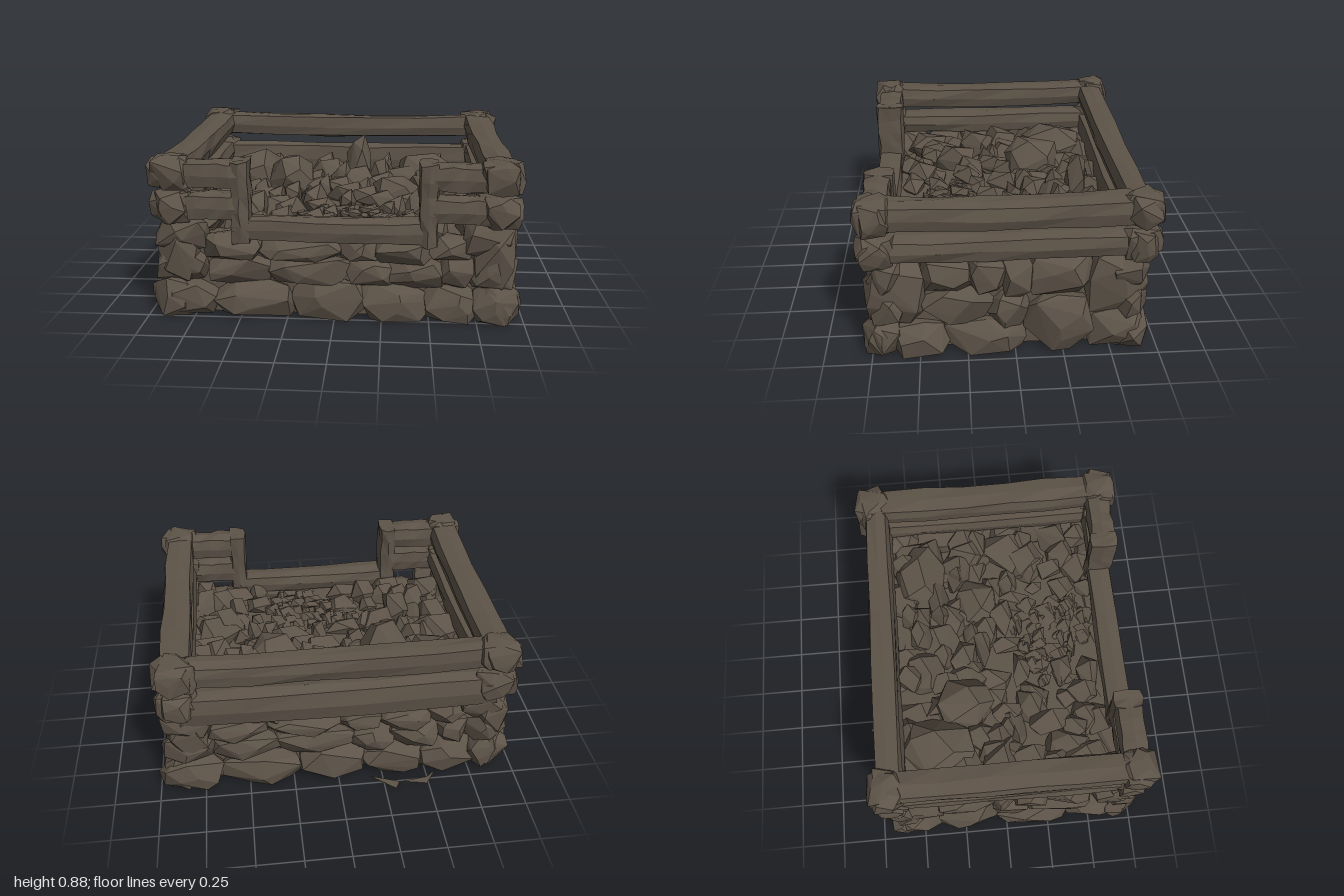
import * as THREE from 'three';
import { ConvexGeometry } from 'three/addons/geometries/ConvexGeometry.js';

const stone = new THREE.MeshStandardMaterial({ color: 0x5d5348 });
stone.name = 'weathered brown';

// Seeded random numbers
let seed = 7;
const rnd = () => {
  seed = (seed * 16807) % 2147483647;
  return seed / 2147483647;
};
const spread = (a) => (rnd() * 2 - 1) * a;

// Jitter that depends only on position, so shared corners stay joined
const hash = (x, y, z, k) => {
  const s = Math.sin(x * 127.1 + y * 311.7 + z * 74.7 + k * 53.3) * 43758.5453;
  return (s - Math.floor(s)) * 2 - 1;
};

function add(parent, name, geometry) {
  const mesh = new THREE.Mesh(geometry, stone);
  mesh.name = name;
  parent.add(mesh);
  return mesh;
}

function group(parent, name) {
  const g = new THREE.Group();
  g.name = name;
  parent.add(g);
  return g;
}

// Faceted rock filling a box: centre, half sizes, squareness p, point count
function rock(parent, name, [cx, cy, cz], [hx, hy, hz], p = 4, n = 20) {
  const points = [];
  for (let i = 0; i < n; i++) {
    const y = 1 - (2 * (i + 0.5)) / n;
    const a = i * 2.39996 + spread(0.5);
    const r = Math.sqrt(1 - y * y);
    const d = [Math.cos(a) * r, y + spread(0.1), Math.sin(a) * r];
    const len = Math.pow(d.reduce((s, v) => s + Math.abs(v) ** p, 0), 1 / p);
    const k = (1.03 + spread(0.06)) / len;
    points.push(new THREE.Vector3(
      cx + d[0] * k * hx, Math.max(0, cy + d[1] * k * hy), cz + d[2] * k * hz));
  }
  add(parent, name, new ConvexGeometry(points));
}

// Rough hewn beam along x, y or z with chamfered edges and a slight sag
function beam(parent, name, [cx, cy, cz], [len, h, d], axis = 'x', sag = 0.012) {
  let g = new THREE.BoxGeometry(len, h, d, 5, 2, 2);
  const pos = g.attributes.position;
  for (let i = 0; i < pos.count; i++) {
    const x = pos.getX(i), y = pos.getY(i), z = pos.getZ(i);
    const edge = Math.abs(y) > h * 0.4 && Math.abs(z) > d * 0.4;
    const k = edge ? 0.85 : 1;
    const j = (n) => hash(x + cx, y + cy, z + cz, n);
    const t = (2 * x) / len;
    pos.setXYZ(i, x + j(1) * len * 0.02,
      y * k + j(2) * 0.006 - sag * (1 - t * t), z * k + j(3) * 0.006);
  }
  if (axis === 'z') g.rotateY(Math.PI / 2);
  if (axis === 'y') g.rotateZ(Math.PI / 2);
  g.translate(cx, cy, cz);
  g = g.toNonIndexed();
  g.computeVertexNormals();
  add(parent, name, g);
}

// Wall stones: start, end, bottom, top
const longWall = [
  [-0.99, -0.63, -0.03, 0.2], [-0.65, -0.2, -0.03, 0.19], [-0.22, 0.16, -0.03, 0.22],
  [0.12, 0.5, -0.03, 0.2], [0.46, 0.8, -0.03, 0.19], [0.72, 0.98, -0.03, 0.21],
  [-0.96, -0.68, 0.18, 0.37], [-0.7, -0.33, 0.17, 0.34], [-0.36, 0.1, 0.18, 0.34],
  [0.06, 0.32, 0.18, 0.33], [0.28, 0.58, 0.17, 0.34], [0.54, 0.74, 0.18, 0.36],
  [0.69, 0.96, 0.18, 0.37],
  [-0.95, -0.68, 0.35, 0.54], [-0.72, -0.38, 0.31, 0.45], [-0.42, 0.04, 0.31, 0.43],
  [0, 0.24, 0.32, 0.44], [0.2, 0.52, 0.31, 0.44], [0.48, 0.72, 0.33, 0.46],
  [0.68, 0.95, 0.35, 0.55],
];
const sideWall = [
  [0.6, 0.79, -0.03, 0.21], [0.34, 0.66, -0.03, 0.18], [-0.05, 0.38, -0.03, 0.18],
  [-0.42, -0.04, -0.03, 0.33], [-0.7, -0.38, -0.03, 0.22],
  [0.46, 0.77, 0.18, 0.54], [0.1, 0.49, 0.16, 0.38], [-0.08, 0.14, 0.13, 0.34],
  [0.22, 0.48, 0.35, 0.55], [0.04, 0.25, 0.35, 0.55], [-0.09, 0.07, 0.31, 0.55],
  [-0.42, -0.06, 0.31, 0.55], [-0.7, -0.36, 0.19, 0.55],
];

function buildWalls(root) {
  const walls = group(root, 'stoneWalls');
  const core = add(walls, 'wallCore', new THREE.BoxGeometry(1.72, 0.42, 1.26));
  core.position.set(0, 0.21, 0.04);
  for (const [a, b, y0, y1] of longWall) {
    const y = (y0 + y1) / 2, w = (b - a) / 2, h = (y1 - y0) / 2;
    const base = y0 < 0;
    const out = base ? 0.02 : 0, p = base ? 3.2 : 4;
    rock(walls, 'frontStone', [(a + b) / 2, y, 0.665 + out + spread(0.008)], [w, h, 0.105], p);
    rock(walls, 'backStone', [-(a + b) / 2, y, -0.59 - out + spread(0.008)], [w, h, 0.105], p);
  }
  for (const [a, b, y0, y1] of sideWall) {
    const base = y0 < 0;
    for (const s of [1, -1]) {
      rock(walls, s > 0 ? 'leftStone' : 'rightStone',
        [s * (base ? 0.865 : 0.83) + spread(0.01), (y0 + y1) / 2, (a + b) / 2],
        [0.115, (y1 - y0) / 2, (b - a) / 2], base ? 3.2 : 4);
    }
  }
}

function buildBeams(root) {
  const frame = group(root, 'beamFrame');
  // Back wall: a rail above a broad plank
  beam(frame, 'backRail', [0, 0.787, -0.625], [1.6, 0.14, 0.14]);
  beam(frame, 'backPlank', [0, 0.562, -0.63], [1.66, 0.2, 0.145], 'x', 0.004);
  // Two tiers of rails with a gap between them
  for (const [y, h, sag] of [[0.785, 0.14, 0.012], [0.6, 0.125, 0.004]]) {
    for (const s of [1, -1]) {
      beam(frame, 'sideRail', [s * 0.845, y + 0.008, 0.03], [1.24, h + 0.005, 0.17], 'z', sag);
      beam(frame, 'frontRail', [s * 0.63, y - (y > 0.7 ? 0.005 : -0.008), 0.695],
        [0.32, 0.145, 0.15], 'x', 0);
      // Knobbly beam ends crossing at the corners
      for (const z of [0.7, -0.645]) {
        rock(frame, 'cornerEnd', [s * 0.85, y + 0.005, z], [0.11, 0.08, 0.08], 8, 30);
        rock(frame, 'cornerEnd', [s * 0.85, y + 0.007, z], [0.085, 0.085, 0.1], 8, 30);
      }
    }
  }
  // Front opening
  for (const s of [1, -1]) {
    beam(frame, 'openingPost', [s * 0.485, 0.638, 0.692], [0.43, 0.1, 0.165], 'y', 0);
  }
  beam(frame, 'openingSill', [0, 0.493, 0.695], [1.03, 0.125, 0.15], 'x', 0.005);
}

function buildRubble(root) {
  const rubble = group(root, 'rubbleFill');
  // Boulders: x, z, half width, half depth, top
  for (const [x, z, w, d, top] of [
    [-0.58, -0.36, 0.18, 0.2, 0.66], [-0.33, -0.2, 0.14, 0.18, 0.67],
    [0.5, -0.4, 0.2, 0.16, 0.64], [0.32, -0.08, 0.15, 0.14, 0.58],
    [-0.63, 0.0, 0.12, 0.13, 0.57], [0.64, -0.1, 0.1, 0.14, 0.58],
    [-0.1, -0.42, 0.13, 0.12, 0.6], [0.6, 0.25, 0.13, 0.12, 0.55],
    [-0.62, 0.38, 0.12, 0.14, 0.55], [-0.35, 0.2, 0.13, 0.1, 0.53],
    [0.62, 0.48, 0.12, 0.11, 0.54], [-0.45, 0.5, 0.12, 0.09, 0.52],
  ]) {
    rock(rubble, 'boulder', [x, top - 0.15, z], [w, 0.15, d], 2.5, 18);
  }
  // Upright shards: x, z, top, half width
  for (const [x, z, top, w] of [
    [0.08, -0.42, 0.77, 0.1], [0.22, -0.3, 0.66, 0.08], [-0.02, -0.3, 0.64, 0.08],
    [0.25, -0.48, 0.65, 0.07], [0.48, -0.18, 0.64, 0.07], [-0.12, -0.12, 0.6, 0.08],
    [-0.48, 0.05, 0.61, 0.07], [0.42, 0.12, 0.57, 0.07], [0.12, -0.12, 0.57, 0.08],
  ]) {
    rock(rubble, 'shard', [x, top - 0.2, z], [w, 0.2, 0.07], 1.6, 14);
  }
  // Loose stones, finer and lower towards the front middle
  for (let i = 0; i < 9; i++) {
    for (let k = 0; k < 8; k++) {
      const x = -0.68 + i * 0.17 + spread(0.06);
      const z = -0.47 + k * 0.145 + spread(0.06);
      const far = Math.min(1, Math.hypot(x - 0.1, z - 0.4) / 0.8);
      const r = 0.065 + 0.065 * far;
      rock(rubble, 'looseStone', [x, 0.405 + 0.08 * far + spread(0.03), z],
        [r * (1 + spread(0.4)), r * (0.8 + spread(0.2)), r * (1 + spread(0.4))], 1.9, 9);
    }
  }
  for (let i = 0; i < 70; i++) {
    const a = rnd() * Math.PI * 2, q = Math.sqrt(rnd());
    rock(rubble, 'gravel', [0.1 + Math.cos(a) * q * 0.34, 0.44 + spread(0.02), 0.34 + Math.sin(a) * q * 0.24],
      [0.045 + spread(0.025), 0.03, 0.045 + spread(0.025)], 1.8, 7);
  }
}

// Thin flakes lying on the ground behind the back wall
function buildFlakes(root) {
  for (const pts of [
    [[-0.56, 0.69], [-0.49, 0.79], [-0.35, 0.76], [-0.5, 0.74]],
    [[-0.34, 0.76], [-0.31, 0.81], [-0.18, 0.7]],
  ]) {
    const shape = new THREE.Shape(pts.map(([x, z]) => new THREE.Vector2(x, z)));
    const g = new THREE.ExtrudeGeometry(shape, { depth: 0.004, bevelEnabled: false });
    add(root, 'groundFlake', g.rotateX(-Math.PI / 2));
  }
}

export function createModel() {
  seed = 7;
  const root = new THREE.Group();
  root.name = 'stonePen';
  buildWalls(root);
  buildBeams(root);
  buildRubble(root);
  buildFlakes(root);
  return root;
}
